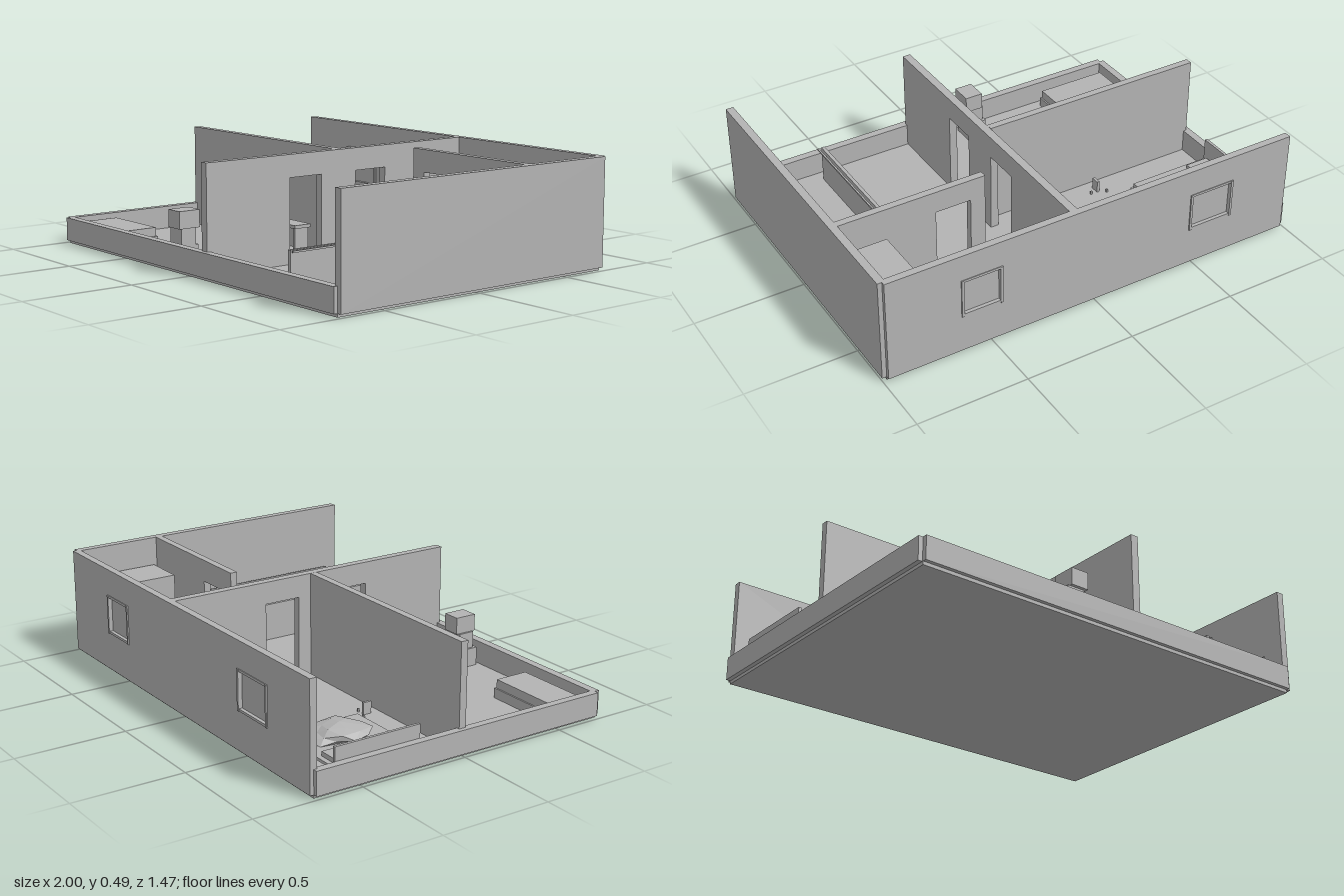
import * as THREE from 'three';

const FLOOR = 0.015, HIGH = 0.49, LOW = 0.12, DOOR = 0.39;

export function createModel() {
  const model = new THREE.Group();
  model.name = 'apartment';
  const grey = new THREE.MeshStandardMaterial({ color: 0xb3b3b3 });
  grey.name = 'plain grey';

  // box from its lower and upper limits on each axis
  function box(name, x0, x1, y0, y1, z0, z1, parent = model) {
    const m = new THREE.Mesh(new THREE.BoxGeometry(x1 - x0, y1 - y0, z1 - z0), grey);
    m.position.set((x0 + x1) / 2, (y0 + y1) / 2, (z0 + z1) / 2);
    m.name = name;
    parent.add(m);
    return m;
  }
  function group(name) {
    const g = new THREE.Group();
    g.name = name;
    model.add(g);
    return g;
  }
  // upright wall outline along one axis, with doors cut from its foot and window holes
  function wall(name, a0, a1, thick, doors, windows) {
    const s = new THREE.Shape();
    s.moveTo(a0, FLOOR);
    for (const [d0, d1] of doors) {
      s.lineTo(d0, FLOOR); s.lineTo(d0, DOOR); s.lineTo(d1, DOOR); s.lineTo(d1, FLOOR);
    }
    s.lineTo(a1, FLOOR); s.lineTo(a1, HIGH); s.lineTo(a0, HIGH);
    for (const [w0, w1, y0, y1] of windows) {
      const h = new THREE.Path();
      h.moveTo(w0, y0); h.lineTo(w0, y1); h.lineTo(w1, y1); h.lineTo(w1, y0);
      s.holes.push(h);
    }
    const m = new THREE.Mesh(new THREE.ExtrudeGeometry(s, { depth: thick, bevelEnabled: false }), grey);
    m.name = name;
    model.add(m);
    return m;
  }

  // slab and outer walls
  box('floor', -0.98, 0.98, 0, FLOOR, -0.715, 0.715);
  box('leftLowWall', -1, -0.965, FLOOR, LOW, -0.715, 0.71);
  box('frontLowWall', -0.98, 0.98, FLOOR, LOW, 0.695, 0.732);
  box('rightWall', 0.965, 1, FLOOR, HIGH, -0.715, 0.715);
  const windows = [[-0.685, -0.465, 0.19, 0.37], [0.455, 0.645, 0.19, 0.37]];
  wall('backWall', -0.98, 0.98, 0.033, [], windows).position.z = -0.732;

  // framed windows with a closed pane
  for (const [x0, x1, y0, y1] of windows) {
    const g = group('window'), t = 0.011;
    box('windowPane', x0, x1, y0, y1, -0.719, -0.711, g);
    for (const x of [x0, x1 - t]) box('windowJamb', x, x + t, y0, y1, -0.738, -0.693, g);
    for (const y of [y0, y1 - t]) box('windowRail', x0, x1, y, y + t, -0.735, -0.696, g);
  }

  // inner walls
  box('bedroomWall', -0.98, 0.085, FLOOR, HIGH, -0.018, 0.015);
  const hall = wall('hallWall', -0.71, 0.70, 0.037, [[-0.28, -0.11], [0.08, 0.25]], []);
  hall.rotation.y = Math.PI / 2;
  hall.position.x = 0.086;
  wall('bathroomWall', 0.285, 0.965, 0.033, [[0.355, 0.52]], []).position.z = -0.308;

  // low partition with handrails on both sides of the passage
  box('partition', 0.578, 0.594, FLOOR, 0.19, -0.11, 0.64);
  for (const x of [0.609, 0.935]) box('handrail', x - 0.004, x + 0.004, 0.181, 0.189, -0.11, 0.64);

  // double bed
  const bed = group('doubleBed');
  box('bedFrame', -0.957, -0.54, FLOOR, 0.06, -0.607, -0.2, bed);
  box('mattress', -0.945, -0.55, 0.06, 0.085, -0.597, -0.21, bed);
  box('headboard', -0.963, -0.95, FLOOR, 0.18, -0.607, -0.2, bed);
  box('pillow', -0.935, -0.825, 0.085, 0.105, -0.575, -0.237, bed);

  // crumpled blanket: a faceted ball with uneven radii
  const ball = new THREE.IcosahedronGeometry(1, 1);
  const p = ball.attributes.position, v = new THREE.Vector3();
  for (let i = 0; i < p.count; i++) {
    v.fromBufferAttribute(p, i);
    const k = 0.92 + 0.2 * Math.sin(v.x * 7.3 + v.z * 4.1 + v.y * 3) * Math.cos(v.z * 6.1 - v.x * 2.3);
    p.setXYZ(i, v.x * k * 0.115, v.y * k * 0.045, v.z * k * 0.15);
  }
  ball.computeVertexNormals();
  const blanket = new THREE.Mesh(ball, grey);
  blanket.name = 'blanket';
  blanket.position.set(-0.69, 0.1, -0.4);
  bed.add(blanket);

  // bedroom furniture
  box('nightstand', -0.945, -0.862, FLOOR, 0.1, -0.7, -0.63);
  box('wardrobe', -0.25, 0.07, FLOOR, 0.37, -0.7, -0.602);
  const stool = group('smallOrnament');
  box('ornamentBody', -0.439, -0.427, FLOOR, 0.07, -0.1, -0.06, stool);
  for (const [x, z] of [[-0.467, -0.12], [-0.397, -0.097]])
    box('ornamentFoot', x - 0.004, x + 0.004, FLOOR, 0.03, z - 0.004, z + 0.004, stool);

  // couch
  const couch = group('couch');
  box('couchBase', -0.947, -0.595, FLOOR, 0.06, 0.483, 0.657, couch);
  box('couchCushion', -0.94, -0.602, 0.06, 0.1, 0.49, 0.65, couch);

  // cabinet with a set on top
  const set = group('television');
  box('cabinet', -0.225, -0.14, FLOOR, 0.175, 0.585, 0.66, set);
  box('cabinetFoot', -0.235, -0.14, FLOOR, 0.1, 0.572, 0.675, set);
  box('screenBox', -0.215, -0.13, 0.175, 0.252, 0.572, 0.675, set);

  // desk and chair
  const desk = group('desk');
  box('deskTop', -0.288, -0.037, 0.13, 0.145, 0.043, 0.13, desk);
  for (const x of [-0.275, -0.06]) box('deskSide', x, x + 0.012, FLOOR, 0.13, 0.05, 0.123, desk);
  const chair = group('chair');
  box('chairSeat', -0.203, -0.123, 0.085, 0.1, 0.155, 0.24, chair);
  box('chairBack', -0.203, -0.123, 0.1, 0.185, 0.228, 0.24, chair);
  for (const x of [-0.203, -0.135]) for (const z of [0.155, 0.228])
    box('chairLeg', x, x + 0.012, FLOOR, 0.085, z, z + 0.012, chair);

  // bathroom units
  for (const x of [0.32, 0.48, 0.64]) box('bathroomCabinet', x, x + 0.125, FLOOR, 0.335, -0.7, -0.628);
  box('showerCubicle', 0.76, 0.957, FLOOR, 0.36, -0.59, -0.328);

  return model;
}
